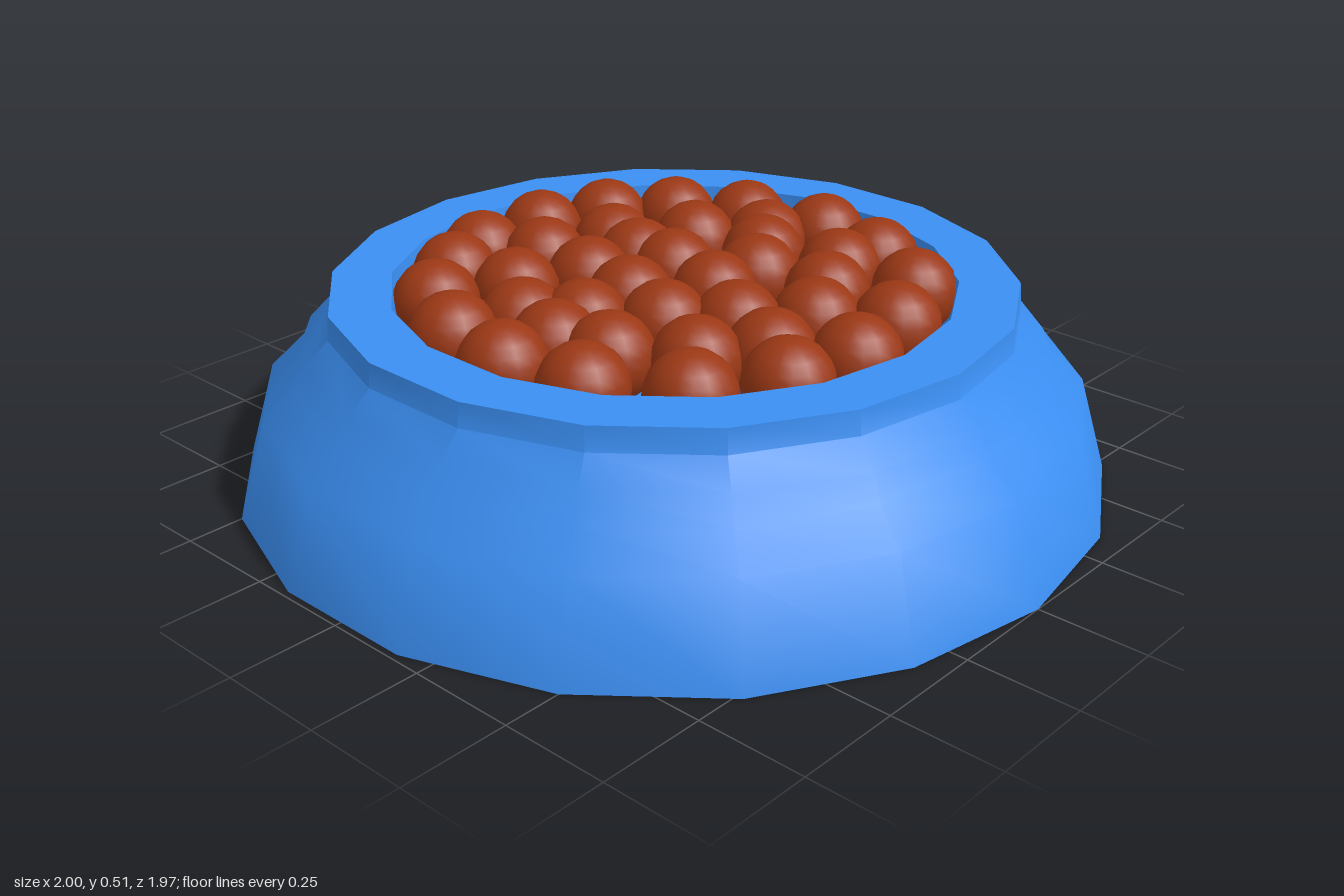
import * as THREE from 'three';
import { toCreasedNormals } from 'three/addons/utils/BufferGeometryUtils.js';

const FLOOR = 0.31, BALL_RADIUS = 0.1;

// Bowl profile (radius, height): underside, stepped outer wall, flat rim, inner wall, floor
const PROFILE = [
  [0, 0], [1, 0], [0.935, 0.22], [0.86, 0.285], [0.835, 0.345],
  [0.782, 0.4], [0.777, 0.455], [0.64, 0.455], [0.62, FLOOR], [0, FLOOR],
];

// Kibble centres (x, z): ring along the wall, then the loose filling
const RING = [
  [0, -0.545], [0.2, -0.495], [0.385, -0.39], [0.475, -0.2], [0.52, 0],
  [0.49, 0.19], [0.385, 0.37], [0.2, 0.49], [0, 0.525], [-0.195, 0.49],
  [-0.365, 0.39], [-0.465, 0.245], [-0.525, 0.105], [-0.53, -0.095],
  [-0.47, -0.265], [-0.355, -0.395], [-0.205, -0.495],
];
const FILLING = [
  [-0.075, -0.415], [-0.015, -0.33], [-0.2, -0.295], [0.18, -0.375],
  [0.25, -0.24], [0.06, -0.22], [-0.33, -0.145], [-0.215, -0.11],
  [-0.105, -0.115], [0.06, -0.07], [0.33, -0.1], [0.215, 0.03],
  [0.37, 0.1], [-0.385, 0.035], [-0.215, 0.055], [-0.06, 0.08],
  [0.095, 0.135], [0.28, 0.235], [-0.035, 0.25], [-0.285, 0.22],
  [-0.14, 0.335], [0, 0.375], [0.13, 0.34],
];

export function createModel() {
  const model = new THREE.Group();
  model.name = 'foodBowl';

  // Eighteen-sided bowl with corners on the x axis
  const points = PROFILE.map(([r, y]) => new THREE.Vector2(r, y));
  const bowl = new THREE.Mesh(
    toCreasedNormals(new THREE.LatheGeometry(points, 18, Math.PI / 2), 0.7),
    new THREE.MeshStandardMaterial({ color: 0x3b8ff3 }),
  );
  bowl.name = 'bowl';
  model.add(bowl);

  // Round kibble pieces resting on the floor
  const kibble = new THREE.Group();
  kibble.name = 'kibble';
  const ball = new THREE.SphereGeometry(BALL_RADIUS, 16, 12);
  const brown = new THREE.MeshStandardMaterial({ color: 0x9b3815 });
  [...RING, ...FILLING].forEach(([x, z], i) => {
    const piece = new THREE.Mesh(ball, brown);
    piece.name = `kibblePiece${i + 1}`;
    piece.position.set(x, FLOOR + BALL_RADIUS, z);
    kibble.add(piece);
  });
  model.add(kibble);

  return model;
}
